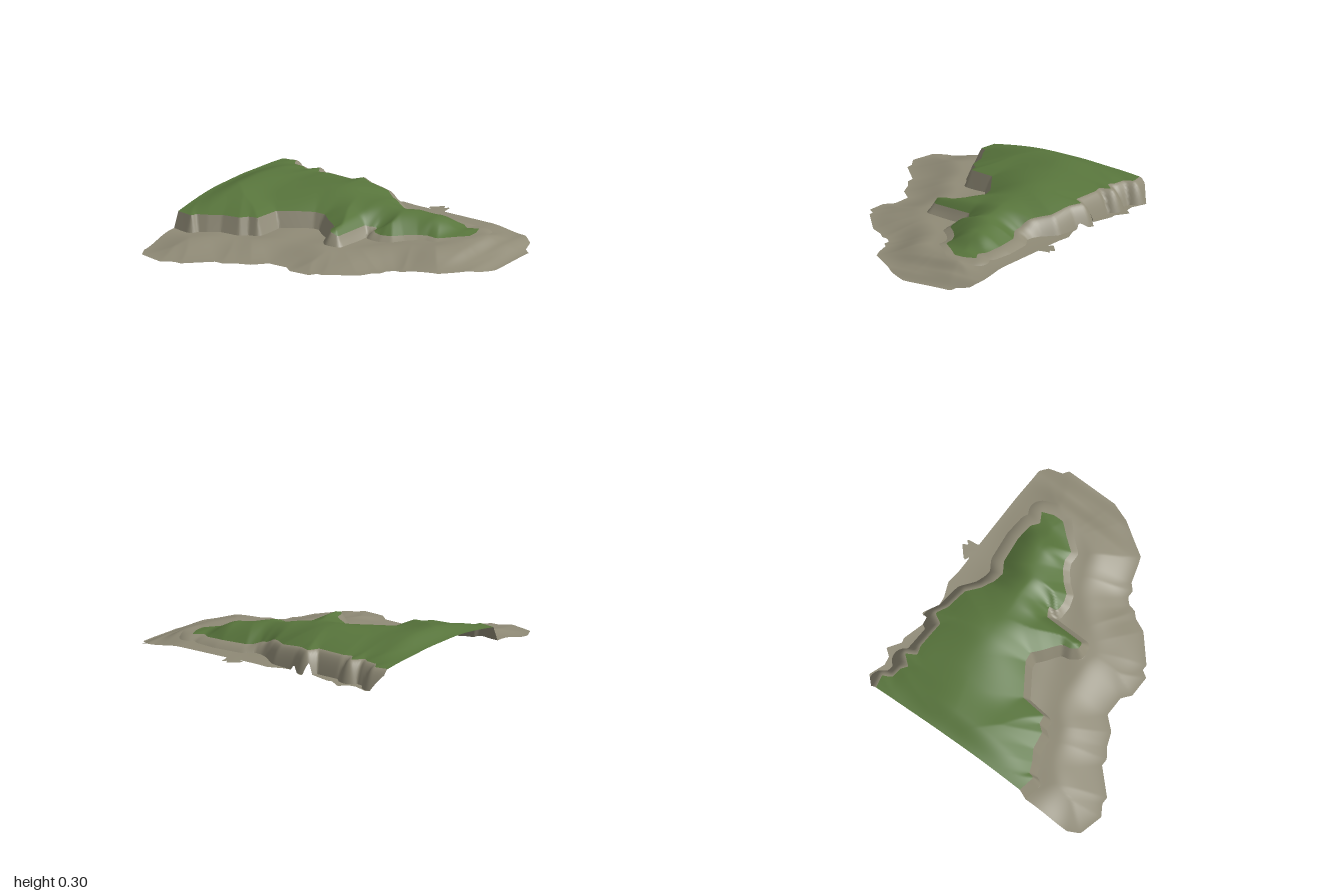
import * as THREE from 'three';
import { mergeVertices } from 'three/addons/utils/BufferGeometryUtils.js';

// Shoreline and plateau outlines as x, z pairs (both run past the straight cut at x = -1)
const SHORE = [-1.5, -0.78, -1, -0.78, -0.91, -0.86, -0.8, -0.82, -0.74, -0.83, -0.7, -0.88, -0.61, -0.82, -0.58, -0.83,
  -0.4, -0.78, -0.37, -0.84, -0.33, -0.82, -0.28, -0.78, -0.2, -0.79, -0.1, -0.83, 0, -0.82, 0.13, -0.82,
  0.08, -0.84, 0.17, -0.92, 0.18, -0.87, 0.21, -0.92, 0.22, -0.825, 0.87, -0.825, 0.93, -0.79, 0.96, -0.7,
  1, -0.68, 1, -0.31, 0.95, -0.18, 0.87, -0.06, 0.8, 0.05, 0.75, 0.07, 0.62, 0.11, 0.58, 0.15, 0.53, 0.15,
  0.49, 0.19, 0.48, 0.24, 0.44, 0.28, 0.4, 0.37, 0.22, 0.53, 0.18, 0.53, 0.15, 0.58, 0, 0.58, -0.06, 0.53,
  -0.2, 0.53, -0.28, 0.62, -0.38, 0.66, -0.45, 0.71, -0.5, 0.71, -0.66, 0.87, -0.71, 0.87, -0.79, 0.92,
  -0.96, 0.88, -1, 0.8, -1.5, 0.8];
const PLATEAU = [-1.5, -0.74, -1, -0.74, -0.91, -0.76, -0.88, -0.7, -0.8, -0.69, -0.76, -0.66, -0.7, -0.73, -0.66, -0.66,
  -0.6, -0.68, -0.4, -0.67, -0.36, -0.74, -0.28, -0.7, -0.2, -0.69, -0.12, -0.68, -0.07, -0.64, -0.03, -0.61,
  0.05, -0.58, 0.14, -0.57, 0.22, -0.62, 0.4, -0.64, 0.52, -0.63, 0.57, -0.59, 0.64, -0.63, 0.67, -0.55,
  0.67, -0.48, 0.6, -0.4, 0.53, -0.31, 0.46, -0.31, 0.4, -0.28, 0.33, -0.22, 0.28, -0.16, 0.22, -0.14,
  0.15, -0.14, 0.14, -0.2, 0.07, -0.16, 0.06, 0.13, 0.01, 0.14, -0.02, 0.1, -0.03, 0.04, -0.08, 0, -0.14, -0.04,
  -0.2, -0.09, -0.27, -0.08, -0.36, -0.02, -0.45, 0.04, -0.48, 0.06, -0.5, 0.24, -0.56, 0.25, -0.6, 0.3,
  -0.72, 0.32, -0.8, 0.37, -0.87, 0.4, -0.88, 0.44, -1, 0.42, -1.5, 0.42];

// Height profiles along x, as x, y pairs
const RIDGE = [-1, 0.25, -0.83, 0.297, -0.6, 0.277, -0.3, 0.285, 0, 0.25, 0.2, 0.225, 0.4, 0.2, 0.6, 0.13, 0.7, 0.12];
const RIM = [-1, 0.2, -0.4, 0.205, 0, 0.185, 0.1, 0.15, 0.2, 0.125, 0.4, 0.125, 0.6, 0.117, 0.7, 0.115];
const SLOPE_WIDTH = [-1, 0.48, -0.3, 0.3, 0.2, 0.2, 0.6, 0.12];
const FOOT = [-1, 0.1, 0.3, 0.1, 0.6, 0.118, 0.75, 0.112, 0.85, 0.078, 1, 0.02];
const FRONT_SHORE = [-1, 0.045, -0.2, 0.04, 0.2, 0.048, 0.5, 0.03, 0.75, 0.04, 0.9, 0.028, 1, 0];
const BACK_SHORE = [-1, 0.085, 0.6, 0.088, 0.85, 0.06, 1, 0.01];

const { lerp, smoothstep } = THREE.MathUtils;

function profile(p, x) {
  if (x <= p[0]) return p[1];
  for (let i = 2; i < p.length; i += 2) {
    if (x <= p[i]) return lerp(p[i - 1], p[i + 1], smoothstep(x, p[i - 2], p[i]));
  }
  return p[p.length - 1];
}

// Signed distance to an outline, positive inside
function inside(p, x, z) {
  let best = Infinity, isIn = false;
  for (let i = 0, j = p.length - 2; i < p.length; j = i, i += 2) {
    const ax = p[j], az = p[j + 1], dx = p[i] - ax, dz = p[i + 1] - az;
    const t = Math.min(1, Math.max(0, ((x - ax) * dx + (z - az) * dz) / (dx * dx + dz * dz)));
    best = Math.min(best, Math.hypot(x - ax - t * dx, z - az - t * dz));
    if ((az > z) !== (p[i + 1] > z) && x < ax + (dx * (z - az)) / dz) isIn = !isIn;
  }
  return isIn ? best : -best;
}

const backness = (z) => 1 - smoothstep(z, -0.65, -0.3);
const cliffWidth = (z) => lerp(0.045, 0.085, backness(z));

function height(x, z, plateau, shore) {
  const back = backness(z);
  const rim = profile(RIM, x) + 0.022 * back * (1 - smoothstep(x, -0.3, 0.2));
  if (plateau >= 0) {
    const t = Math.min(1, plateau / profile(SLOPE_WIDTH, x));
    return lerp(rim, Math.max(rim, profile(RIDGE, x)), Math.sin(t * Math.PI / 2));
  }
  // Beach rises from the shore to the cliff foot, with gentle dunes
  const edge = lerp(profile(FRONT_SHORE, x), profile(BACK_SHORE, x), back);
  const rise = smoothstep(shore, 0, 0.32);
  const dunes = 0.007 * rise * Math.sin(x * 13 + z * 9) * Math.sin(z * 8 - x * 5);
  const beach = lerp(edge, profile(FOOT, x), rise) + dunes;
  const t = Math.min(1, -plateau / cliffWidth(z));
  return lerp(rim, beach, Math.pow(t, 1 + 0.8 * back));
}

function makePoint(x, z) {
  const plateau = inside(PLATEAU, x, z), shore = inside(SHORE, x, z);
  return { x, z, plateau, shore, y: height(x, z, plateau, shore), foot: plateau + cliffWidth(z) };
}

// Keep the part of a polygon where sign * point[key] is positive
function clip(poly, key, sign) {
  const out = [];
  poly.forEach((a, i) => {
    const b = poly[(i + 1) % poly.length];
    const fa = sign * a[key], fb = sign * b[key];
    if (fa >= 0) out.push(a);
    if ((fa > 0 && fb < 0) || (fa < 0 && fb > 0)) {
      const t = fa / (fa - fb);
      const p = makePoint(lerp(a.x, b.x, t), lerp(a.z, b.z, t));
      p[key] = 0;
      out.push(p);
    }
  });
  return out;
}

function addPolygon(list, poly) {
  for (let i = 2; i < poly.length; i++) {
    for (const p of [poly[0], poly[i - 1], poly[i]]) list.push(p.x, p.y, p.z);
  }
}

export function createModel() {
  const group = new THREE.Group();
  group.name = 'headland';
  const grass = new THREE.MeshStandardMaterial({ color: 0x58753c, side: THREE.DoubleSide });
  grass.name = 'grass green';
  const rock = new THREE.MeshStandardMaterial({ color: 0x8f8a76, side: THREE.DoubleSide });
  rock.name = 'sandy rock';

  // Grid of terrain points
  const step = 0.0125, nx = 160, nz = 148, grid = [];
  for (let i = 0; i <= nx; i++) {
    grid.push([]);
    for (let k = 0; k <= nz; k++) grid[i].push(makePoint(-1 + i * step, (k - nz / 2) * step));
  }

  // Cut every triangle along the shore, the plateau rim and the cliff foot
  const top = [], cliff = [], beach = [];
  for (let i = 0; i < nx; i++) {
    for (let k = 0; k < nz; k++) {
      const a = grid[i][k], b = grid[i][k + 1], c = grid[i + 1][k + 1], d = grid[i + 1][k];
      for (const tri of [[a, b, c], [a, c, d]]) {
        const land = clip(tri, 'shore', 1);
        if (land.length < 3) continue;
        addPolygon(top, clip(land, 'plateau', 1));
        const low = clip(land, 'plateau', -1);
        addPolygon(cliff, clip(low, 'foot', 1));
        addPolygon(beach, clip(low, 'foot', -1));
      }
    }
  }

  const addPart = (name, positions, material) => {
    let geometry = new THREE.BufferGeometry();
    geometry.setAttribute('position', new THREE.Float32BufferAttribute(positions, 3));
    geometry = mergeVertices(geometry, 1e-5);
    geometry.computeVertexNormals();
    const mesh = new THREE.Mesh(geometry, material);
    mesh.name = name;
    group.add(mesh);
  };
  addPart('grassPlateau', top, grass);
  addPart('cliffFace', cliff, rock);
  addPart('beach', beach, rock);
  return group;
}
